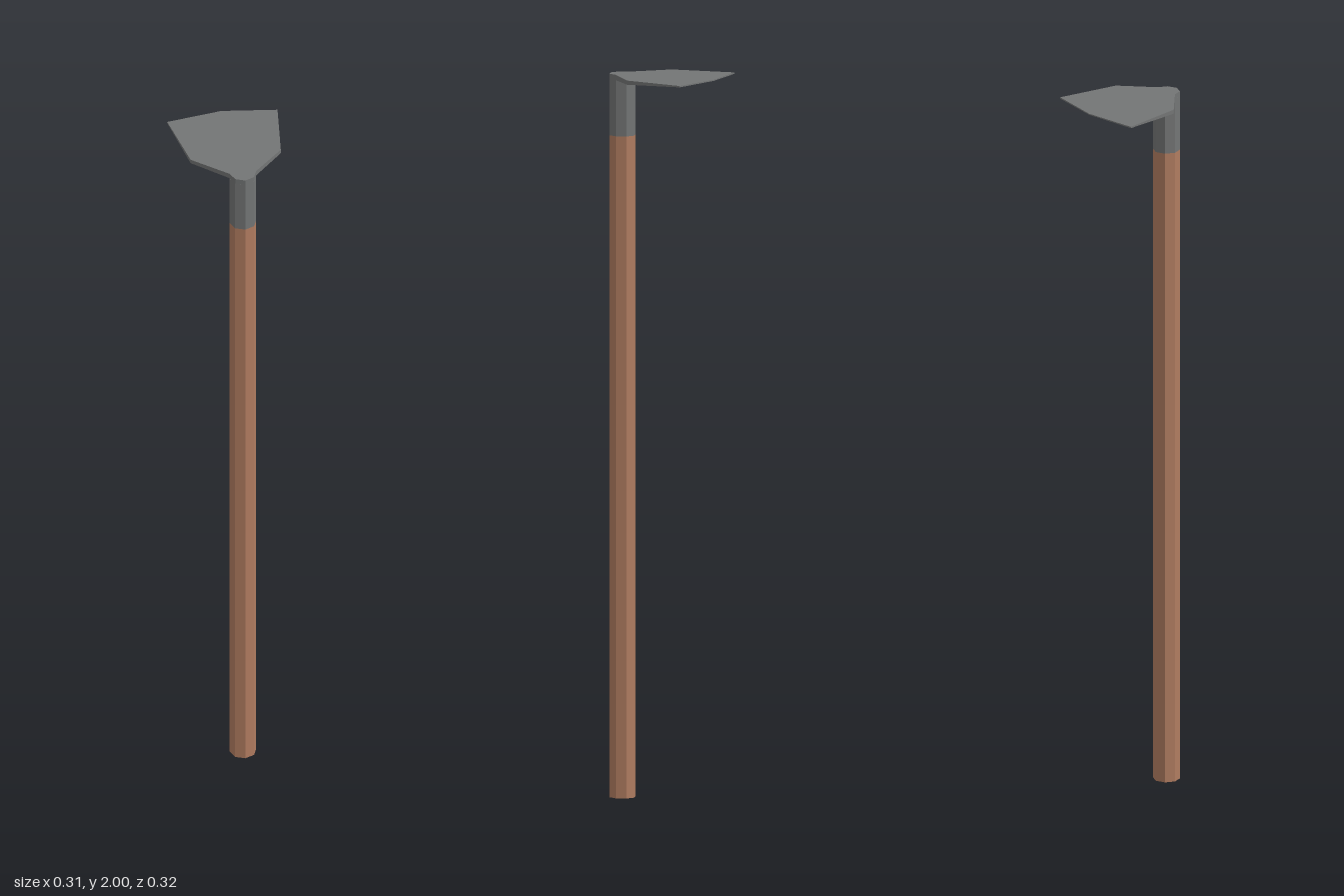
import * as THREE from 'three';

const AXIS_X = 0.01, AXIS_Z = 0.121, RADIUS = 0.037;
const BLADE_BASE = 1.985, SOCKET_BASE = 1.83;

function part(name, geometry, material) {
  const mesh = new THREE.Mesh(geometry, material);
  mesh.name = name;
  return mesh;
}

// Eight-sided shaft section between two heights
function shaft(bottom, top) {
  return new THREE.CylinderGeometry(RADIUS, RADIUS, top - bottom, 8)
    .translate(AXIS_X, (bottom + top) / 2, AXIS_Z);
}

// Flat-topped blade whose underside rises towards the cutting edge
function blade() {
  const outline = [
    [-0.154, -0.138], [-0.121, 0.04], [-0.027, 0.121], [-0.016, 0.147],
    [0.01, 0.158], [0.036, 0.147], [0.047, 0.121], [0.13, 0.04],
    [0.153, -0.138], [0, -0.16],
  ].map(([x, z]) => new THREE.Vector2(x, -z));
  const geometry = new THREE.ExtrudeGeometry(new THREE.Shape(outline), {
    depth: 2 - BLADE_BASE, bevelEnabled: false,
  });
  geometry.rotateX(-Math.PI / 2).translate(0, BLADE_BASE, 0);
  const p = geometry.attributes.position;
  for (let i = 0; i < p.count; i++) {
    if (p.getY(i) < 1.995) {
      const t = THREE.MathUtils.clamp((0.121 - p.getZ(i)) / 0.281, 0, 1);
      p.setY(i, THREE.MathUtils.lerp(BLADE_BASE, 1.997, t));
    }
  }
  geometry.computeVertexNormals();
  return geometry;
}

export function createModel() {
  const wood = new THREE.MeshStandardMaterial({ color: 0xb07c60, flatShading: true });
  const metal = new THREE.MeshStandardMaterial({ color: 0x737575, flatShading: true });
  const group = new THREE.Group();
  group.name = 'hoe';
  group.add(
    part('handle', shaft(0, SOCKET_BASE), wood),
    part('socket', shaft(SOCKET_BASE, BLADE_BASE), metal),
    part('blade', blade(), metal),
  );
  return group;
}
